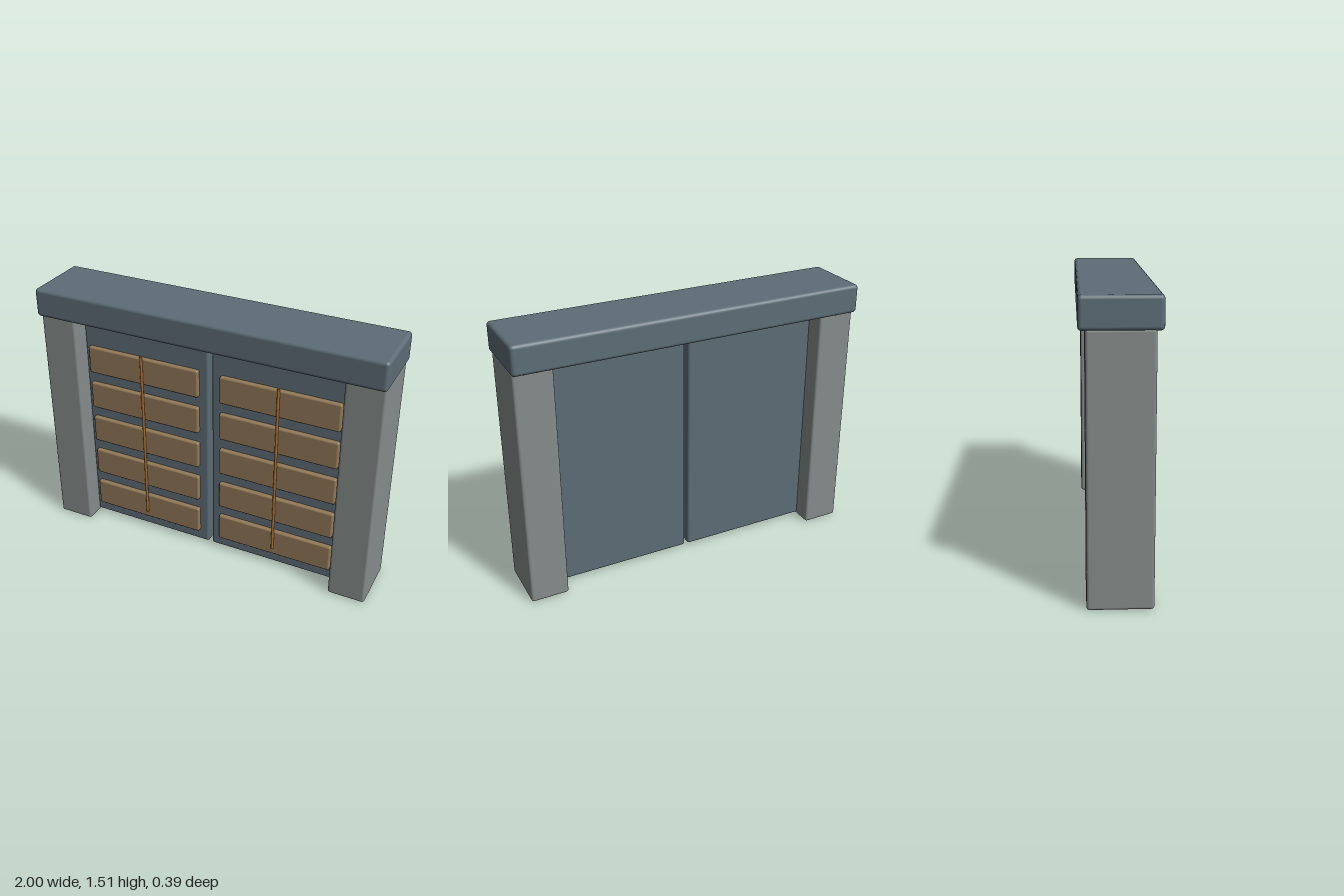
import * as THREE from 'three';
import { RoundedBoxGeometry } from 'three/addons/geometries/RoundedBoxGeometry.js';

const slate = new THREE.MeshStandardMaterial({ color: 0x5d6d76 });
const stone = new THREE.MeshStandardMaterial({ color: 0x868d8c });
const wood = new THREE.MeshStandardMaterial({ color: 0x927a58 });
const copper = new THREE.MeshStandardMaterial({ color: 0xa86c30 });

// Rounded block given by its min and max on each axis
function block(name, [x0, x1], [y0, y1], [z0, z1], radius, material) {
  const geometry = new RoundedBoxGeometry(x1 - x0, y1 - y0, z1 - z0, 3, radius);
  const mesh = new THREE.Mesh(geometry, material);
  mesh.position.set((x0 + x1) / 2, (y0 + y1) / 2, (z0 + z1) / 2);
  mesh.name = name;
  return mesh;
}

// Mirrors an x range to the given side
const mirror = (side, a, b) => (side > 0 ? [a, b] : [-b, -a]);

// One shutter leaf: panel, five slats and the tilt rod
function createShutter(side, label) {
  const shutter = new THREE.Group();
  shutter.name = label + 'Shutter';
  shutter.add(block('shutterPanel', mirror(side, 0.01, 0.785), [0.013, 1.355], [-0.06, 0.06], 0.015, slate));

  for (let i = 0; i < 5; i++) {
    const y = 0.085 + i * 0.229;
    shutter.add(block('slat' + (i + 1), mirror(side, 0.065, 0.753), [y, y + 0.163], [0.03, 0.085], 0.01, wood));
  }

  const rod = new THREE.Mesh(new THREE.CylinderGeometry(0.008, 0.008, 1.05, 12), copper);
  rod.position.set(side * 0.409, 0.655, 0.09);
  rod.name = 'tiltRod';
  shutter.add(rod);
  return shutter;
}

export function createModel() {
  const model = new THREE.Group();
  model.name = 'shutteredFrame';

  // Top beam
  model.add(block('lintel', [-1, 1], [1.348, 1.51], [-0.196, 0.196], 0.02, slate));

  // Side posts and shutter leaves
  for (const [side, label] of [[1, 'left'], [-1, 'right']]) {
    model.add(block(label + 'Post', mirror(side, 0.78, 0.993), [0, 1.358], [-0.163, 0.163], 0.015, stone));
    model.add(createShutter(side, label));
  }
  return model;
}
